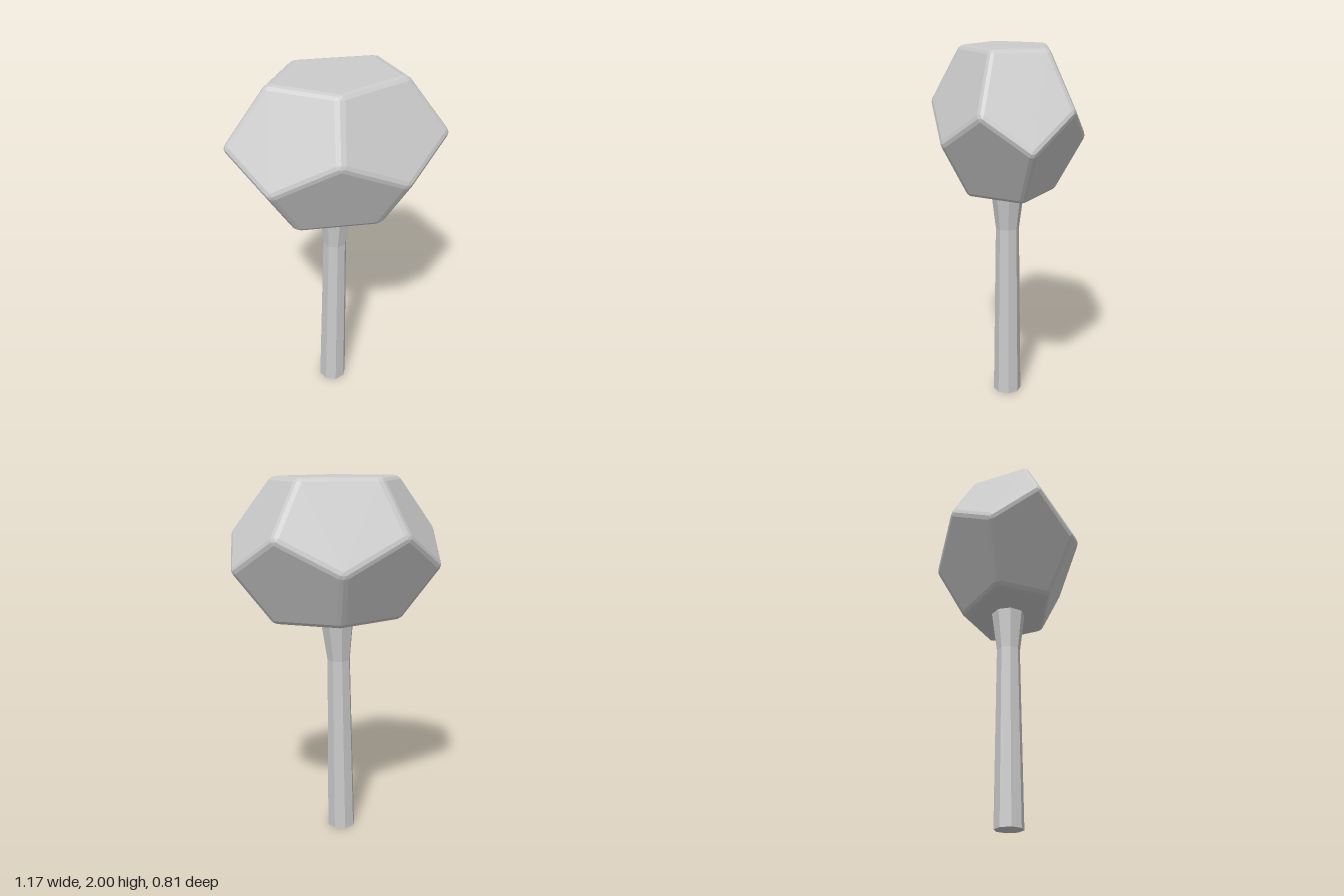
import * as THREE from 'three';
import { ConvexGeometry } from 'three/addons/geometries/ConvexGeometry.js';

const material = new THREE.MeshStandardMaterial({ color: 0xcccccc, flatShading: true });

// Point on a ring around the y axis
const ring = (radius, y, degrees) => {
  const a = THREE.MathUtils.degToRad(degrees);
  return new THREE.Vector3(radius * Math.cos(a), y, radius * Math.sin(a));
};

// Stretched dodecahedron standing on a face, with two-step bevelled edges
function makeHead() {
  const turn = 98, inradius = 0.7947, bevel = 0.1;
  const corners = [], normals = [new THREE.Vector3(0, 1, 0), new THREE.Vector3(0, -1, 0)];
  for (let i = 0; i < 5; i++) {
    const a = turn + i * 72;
    corners.push(ring(0.6071, inradius, a), ring(0.9822, 0.1876, a));
    corners.push(ring(0.9822, -0.1876, a + 36), ring(0.6071, -inradius, a + 36));
    normals.push(ring(0.8944, 0.4472, a + 36), ring(0.8944, -0.4472, a));
  }
  const points = [];
  for (const corner of corners) {
    // The three faces that meet at this corner
    const faces = normals.filter((n) => n.dot(corner) > 0.7);
    const core = corner.clone().multiplyScalar(1 - bevel);
    const push = (dir) => points.push(core.clone().addScaledVector(dir, bevel * inradius));
    faces.forEach((n, i) => {
      push(n);
      push(n.clone().add(faces[(i + 1) % 3]).normalize());
    });
  }
  const geometry = new ConvexGeometry(points);
  geometry.scale(0.617, 0.385 / inradius, 0.424);
  geometry.translate(0, 1.615, 0);
  geometry.computeVertexNormals();
  return geometry;
}

// Eight-sided handle: leans slightly, narrows upward, flares under the head
function makeHandle() {
  const levels = [
    { y: 0, x: -0.028, r: 0.079 },
    { y: 1, x: -0.012, r: 0.065 },
    { y: 1.26, x: -0.001, r: 0.097 },
  ];
  const geometry = new THREE.CylinderGeometry(1, 1, 2, 8, 2);
  const p = geometry.attributes.position;
  for (let i = 0; i < p.count; i++) {
    const level = levels[Math.round(p.getY(i) + 1)];
    p.setXYZ(i, level.x + p.getX(i) * level.r, level.y, p.getZ(i) * level.r);
  }
  geometry.computeVertexNormals();
  return geometry;
}

export function createModel() {
  const model = new THREE.Group();
  model.name = 'mallet';
  const add = (name, geometry) => {
    const mesh = new THREE.Mesh(geometry, material);
    mesh.name = name;
    model.add(mesh);
  };
  add('head', makeHead());
  add('handle', makeHandle());
  return model;
}
